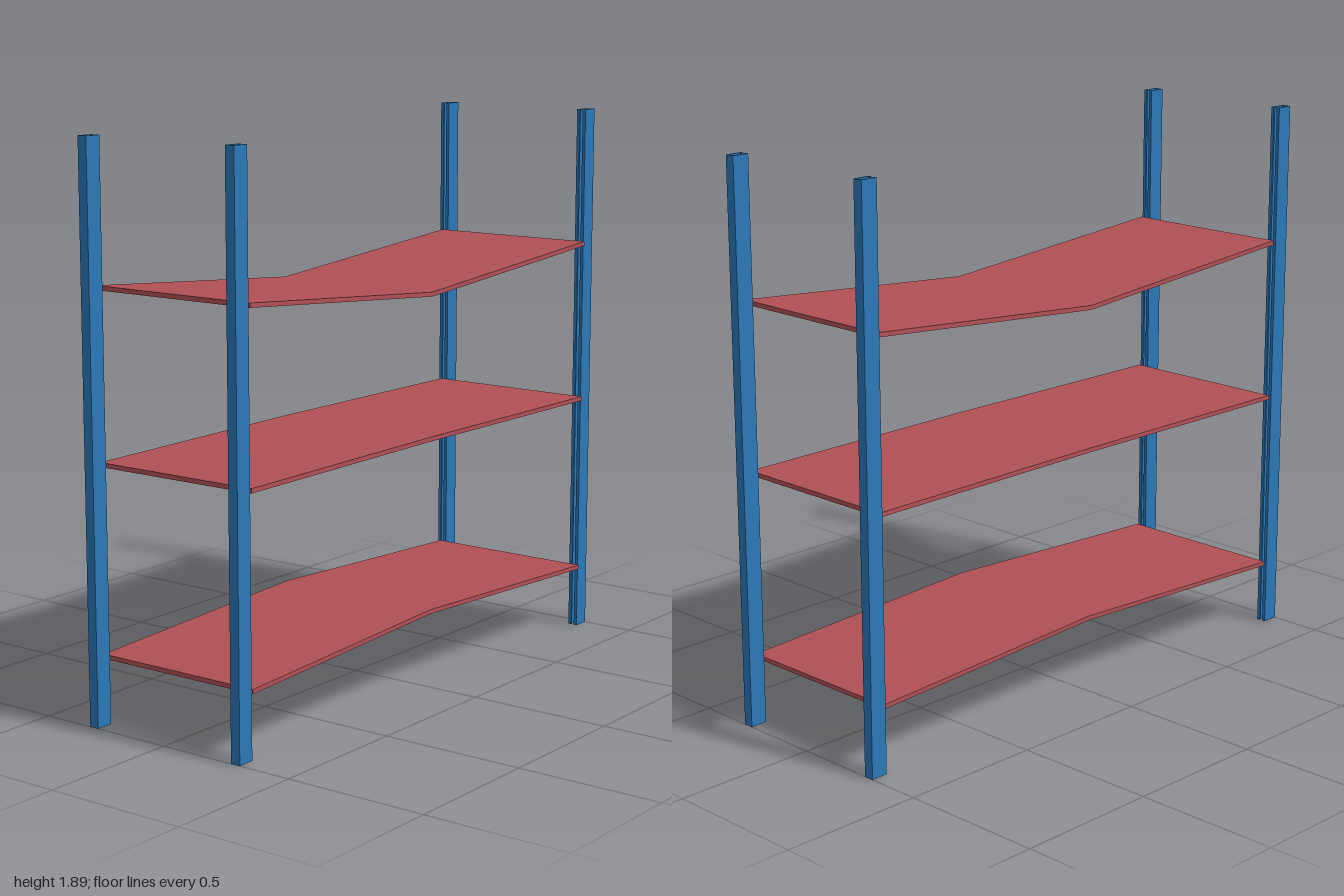
import * as THREE from 'three';

const POST_HEIGHT = 1.895;

// Lipped channel section, open towards the shelves
function postGeometry() {
  const w = 0.0175, d = 0.03, t = 0.006, lip = 0.012;
  const half = [[w, d], [w, -d], [w - lip, -d], [w - lip, -d + t], [w - t, -d + t], [w - t, d - t]];
  const other = half.map(([x, y]) => [-x, y]).reverse();
  const shape = new THREE.Shape([...half, ...other].map(([x, y]) => new THREE.Vector2(x, y)));
  return new THREE.ExtrudeGeometry(shape, { depth: POST_HEIGHT, bevelEnabled: false }).rotateX(-Math.PI / 2);
}

// Shelf folded along its middle line
function shelfGeometry(endY, midY, thick) {
  const shape = new THREE.Shape([
    [-0.94, endY], [0, midY], [0.94, endY],
    [0.94, endY + thick], [0, midY + thick], [-0.94, endY + thick],
  ].map(([z, y]) => new THREE.Vector2(z, y)));
  return new THREE.ExtrudeGeometry(shape, { depth: 0.62, bevelEnabled: false })
    .translate(0, 0, -0.31).rotateY(-Math.PI / 2).translate(0.005, 0, 0);
}

export function createModel() {
  const model = new THREE.Group();
  model.name = 'shelvingRack';
  const blue = new THREE.MeshStandardMaterial({ color: 0x2b78b8 });
  blue.name = 'blue';
  const red = new THREE.MeshStandardMaterial({ color: 0xb05055 });
  red.name = 'red';

  // Four uprights
  const post = postGeometry();
  for (const [z, end] of [[0.97, 'front'], [-0.97, 'back']]) {
    for (const [x, side] of [[0.2925, 'Left'], [-0.2975, 'Right']]) {
      const mesh = new THREE.Mesh(post, blue);
      mesh.name = `${end}${side}Post`;
      mesh.position.set(x, 0, z);
      if (z > 0) mesh.rotation.y = Math.PI;
      model.add(mesh);
    }
  }

  // Three shelves: raised, nearly flat and sagging
  const shelves = [
    ['lowerShelf', 0.215, 0.257],
    ['middleShelf', 0.845, 0.85],
    ['upperShelf', 1.41, 1.335],
  ];
  for (const [name, endY, midY] of shelves) {
    const mesh = new THREE.Mesh(shelfGeometry(endY, midY, 0.015), red);
    mesh.name = name;
    model.add(mesh);
  }
  return model;
}
